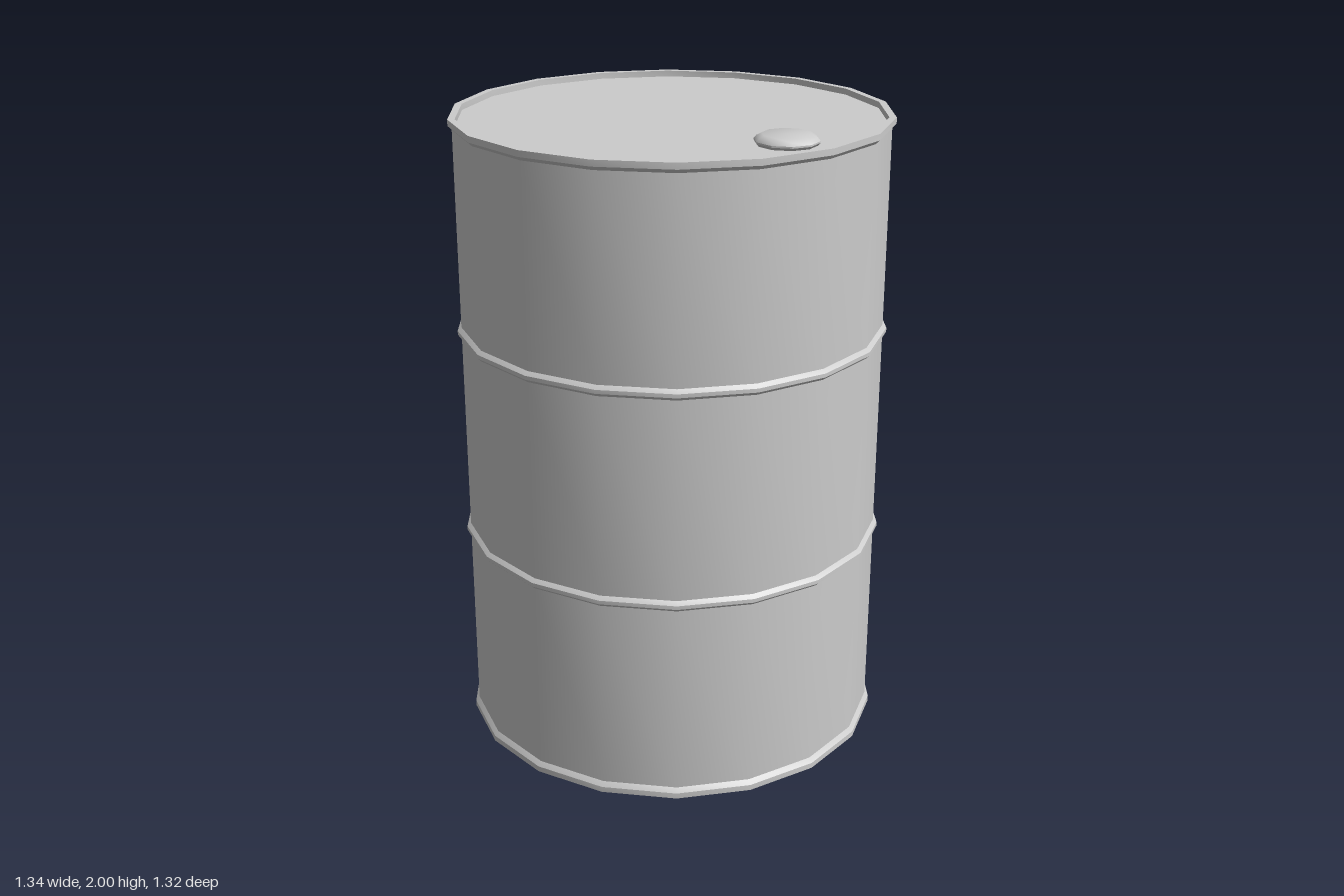
import * as THREE from 'three';
import { toCreasedNormals } from 'three/addons/utils/BufferGeometryUtils.js';

const BODY = 0.66; // wall radius
const RIM = 0.672; // radius of rims and hoops
const INNER = 0.65; // inside radius of the top rim
const LID = 1.97; // height of the recessed lid
const SIDES = 18;

const material = new THREE.MeshStandardMaterial({ color: 0xcccccc });

// Turn a [radius, height] profile, running up the outside, with a corner on the x axis
function turned(name, profile, sides) {
  const points = profile.map(([r, y]) => new THREE.Vector2(r, y));
  const lathe = new THREE.LatheGeometry(points, sides, Math.PI / 2);
  const mesh = new THREE.Mesh(toCreasedNormals(lathe, 0.6), material);
  mesh.name = name;
  return mesh;
}

// Raised hoop around the wall
const hoop = (y) => [[BODY, y - 0.017], [RIM, y - 0.006], [RIM, y + 0.006], [BODY, y + 0.017]];

export function createModel() {
  const group = new THREE.Group();
  group.name = 'drum';

  // Base, bottom rim, wall with two hoops, and top rim folded inward
  group.add(turned('drumShell', [
    [0, 0], [RIM, 0], [RIM, 0.018], [BODY, 0.032],
    ...hoop(0.662),
    ...hoop(1.328),
    [BODY, 1.958], [RIM, 1.97], [RIM, 1.989], [INNER, 1.989], [INNER, LID],
  ], SIDES));

  // Recessed flat lid
  group.add(turned('lid', [[INNER, LID], [0, LID]], SIDES));

  // Rounded bung near the left edge of the lid
  const bung = turned('bungCap', [
    [0.088, 0], [0.095, 0.008], [0.095, 0.013], [0.088, 0.022], [0.073, 0.03], [0, 0.03],
  ], 10);
  bung.position.set(0.49, LID, 0);
  group.add(bung);

  return group;
}
